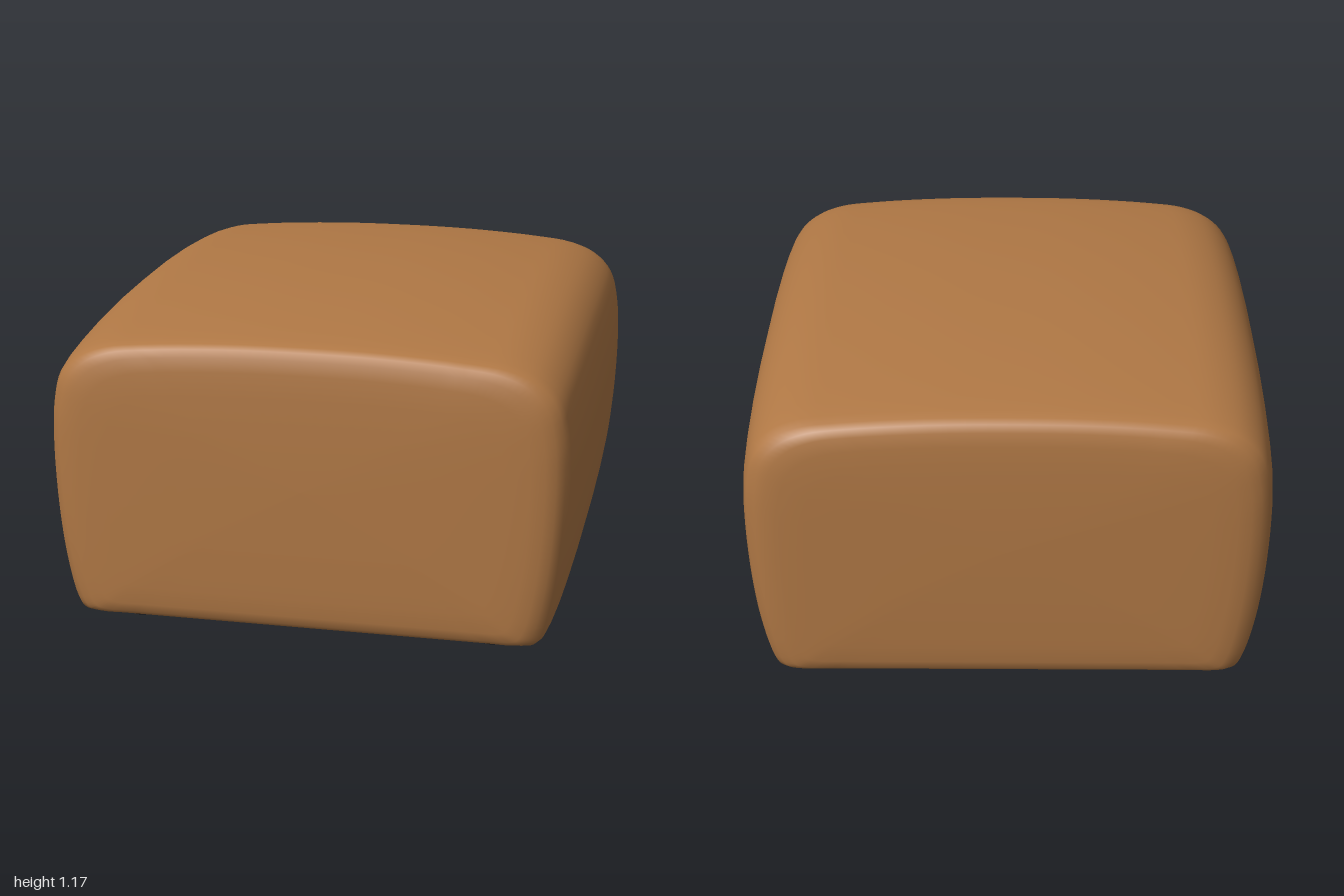
import * as THREE from 'three';

const MID_Y = 0.6, HALF_W = 0.95, TOP = 1.17, BOTTOM = 0.062;

// right half of the cushion outline, from bottom centre up to top centre
const HALF = [
  [0, 0.062], [0.4, 0.062], [0.7, 0.062], [0.81, 0.062], [0.855, 0.072], [0.88, 0.11], [0.915, 0.25],
  [0.94, 0.45], [0.95, 0.7], [0.942, 0.87], [0.91, 1.0], [0.84, 1.08], [0.74, 1.125],
  [0.6, 1.145], [0.3, 1.165], [0, 1.17],
];

// z, then how far the outline is drawn in at the sides, top and bottom
const SECTIONS = [
  [0, 0, 0, 0], [0.25, 0, 0.003, 0], [0.5, 0.003, 0.014, 0], [0.7, 0.008, 0.03, 0],
  [0.82, 0.014, 0.042, 0], [0.9, 0.022, 0.053, 0], [0.94, 0.036, 0.062, 0.003],
  [0.965, 0.065, 0.075, 0.012], [0.98, 0.1, 0.1, 0.028], [0.988, 0.15, 0.15, 0.06],
  [0.993, 0.24, 0.23, 0.13], [0.998, 0.5, 0.36, 0.3], [1, 0.95, 0.57, 0.538],
];

function cushionGeometry() {
  const left = HALF.slice(1, -1).reverse().map(([x, y]) => [-x, y]);
  const curve = new THREE.CatmullRomCurve3(
    [...HALF, ...left].map(([x, y]) => new THREE.Vector3(x, y, 0)), true, 'centripetal');
  const n = HALF.length * 2 - 2, steps = n * 4;
  const outline = [];
  for (let j = 0; j < steps; j++) outline.push(curve.getPoint(j / steps));

  const back = SECTIONS.slice(1).reverse().map(([z, ...r]) => [-z, ...r]);
  const sections = [...back, ...SECTIONS];
  const pos = [], idx = [];
  sections.forEach(([z, side, top, bottom], i) => {
    for (const p of outline) {
      const k = p.y > MID_Y ? 1 - top / (TOP - MID_Y) : 1 - bottom / (MID_Y - BOTTOM);
      pos.push(p.x * (1 - side / HALF_W), MID_Y + (p.y - MID_Y) * k, z);
    }
    if (i === sections.length - 1) return;
    for (let j = 0; j < steps; j++) {
      const a = i * steps + j, b = i * steps + (j + 1) % steps;
      idx.push(a, b, a + steps, b, b + steps, a + steps);
    }
  });
  const geo = new THREE.BufferGeometry();
  geo.setAttribute('position', new THREE.Float32BufferAttribute(pos, 3));
  geo.setIndex(idx);
  geo.computeVertexNormals();
  return geo;
}

export function createModel() {
  const material = (name, color) => {
    const m = new THREE.MeshStandardMaterial({ color });
    m.name = name;
    return m;
  };
  const leather = material('tan leather', 0xb07845);
  const lining = material('black lining', 0x141414);
  const rubber = material('dark rubber', 0x242527);

  const model = new THREE.Group();
  model.name = 'ottoman';
  const add = (name, geo, mat) => {
    const mesh = new THREE.Mesh(geo, mat);
    mesh.name = name;
    model.add(mesh);
    return mesh;
  };

  // upholstered body
  add('cushion', cushionGeometry(), leather);

  // cloth panel underneath
  add('bottomPanel', new THREE.BoxGeometry(1.48, 0.009, 1.7), lining).position.y = 0.06;

  // four tapered feet with a rounded lower rim
  const profile = [[0, 0], [0.054, 0], [0.062, 0.003], [0.066, 0.012], [0.074, 0.05], [0.074, 0.066]]
    .map(([x, y]) => new THREE.Vector2(x, y));
  const footGeo = new THREE.LatheGeometry(profile, 24);
  for (const x of [-1, 1]) for (const z of [-1, 1]) {
    const name = (z > 0 ? 'front' : 'back') + (x > 0 ? 'Left' : 'Right') + 'Foot';
    add(name, footGeo, rubber).position.set(x * 0.655, 0, z * 0.755);
  }
  return model;
}
